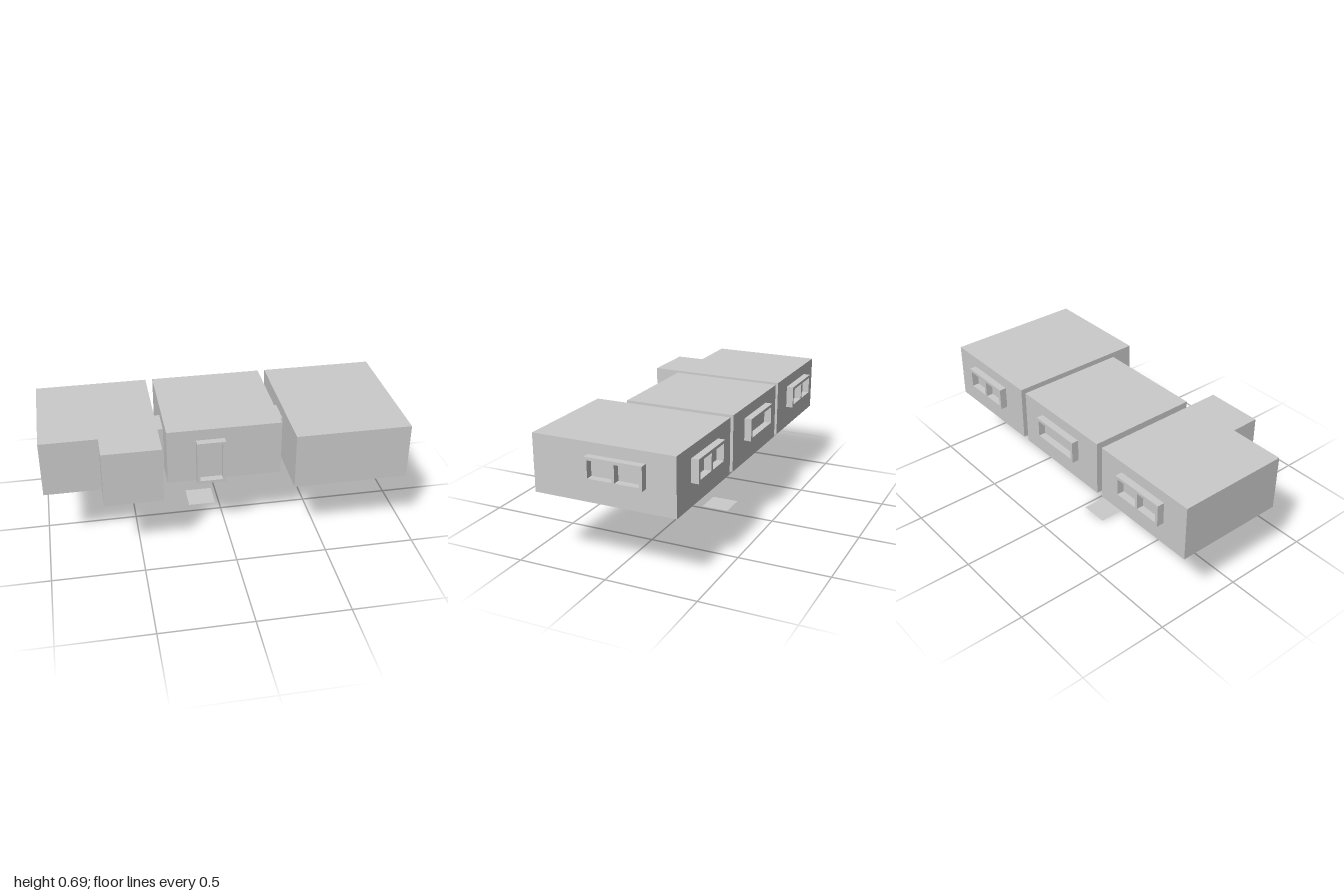
import * as THREE from 'three';

const FLOOR = 0.38, TOP = 0.6925, DEPTH = 0.04;
const material = new THREE.MeshStandardMaterial({ color: 0xcccccc, flatShading: true });

function add(parent, geometry, name, x = 0, y = 0, z = 0) {
  const mesh = new THREE.Mesh(geometry, material);
  mesh.name = name;
  mesh.position.set(x, y, z);
  parent.add(mesh);
  return mesh;
}

// Room block from a floor outline given as [x, z] corners
function addRoom(parent, name, outline) {
  const shape = new THREE.Shape(outline.map(([x, z]) => new THREE.Vector2(x, -z)));
  const geometry = new THREE.ExtrudeGeometry(shape, { depth: TOP - FLOOR, bevelEnabled: false });
  geometry.rotateX(-Math.PI / 2);
  add(parent, geometry, name, 0, FLOOR, 0);
}

// Raised rim around an opening, optionally split by a mullion; faces +z before turning
function addFrame(parent, name, width, y0, y1, panes, x, z, turn) {
  const rim = 0.016, h = y1 - y0;
  const rect = (target, a, b, c, d) =>
    target.moveTo(a, b).lineTo(c, b).lineTo(c, d).lineTo(a, d).lineTo(a, b);
  const shape = new THREE.Shape();
  rect(shape, -width / 2, 0, width / 2, h);
  const inner = width - 2 * rim;
  const pane = (inner - (panes - 1) * rim) / panes;
  for (let i = 0; i < panes; i++) {
    const a = -inner / 2 + i * (pane + rim);
    const hole = new THREE.Path();
    rect(hole, a, rim, a + pane, h - rim);
    shape.holes.push(hole);
  }
  const geometry = new THREE.ExtrudeGeometry(shape, { depth: DEPTH, bevelEnabled: false });
  add(parent, geometry, name, x, y0, z).rotation.y = turn;
}

export function createModel() {
  const group = new THREE.Group();
  group.name = 'house';

  // Three rooms in a row, the first with a stepped front
  addRoom(group, 'steppedRoom', [
    [-1, 0.25], [-0.69, 0.25], [-0.69, 0.41], [-0.375, 0.41], [-0.375, -0.375], [-1, -0.375],
  ]);
  addRoom(group, 'middleRoom', [[-0.335, 0.25], [0.29, 0.25], [0.29, -0.375], [-0.335, -0.375]]);
  addRoom(group, 'longRoom', [[0.33, 0.41], [0.957, 0.41], [0.957, -0.375], [0.33, -0.375]]);

  // Doorways joining neighbouring rooms
  for (const x of [-0.355, 0.31]) {
    add(group, new THREE.BoxGeometry(DEPTH, 0.25, 0.156), 'connectingDoorway', x, FLOOR + 0.125, 0.02);
  }

  // Back windows, side window and front door
  for (const [x, panes] of [[-0.688, 2], [-0.022, 1], [0.645, 2]]) {
    addFrame(group, 'backWindow', 0.3125, 0.505, 0.63, panes, x, -0.375, Math.PI);
  }
  addFrame(group, 'sideWindow', 0.3125, 0.505, 0.63, 2, 0.957, -0.06, Math.PI / 2);
  addFrame(group, 'frontDoor', 0.156, FLOOR, 0.63, 1, -0.1, 0.25, 0);

  // Flat ground tile below the middle room
  const tile = add(group, new THREE.PlaneGeometry(0.156, 0.156), 'groundTile', -0.1, 0, -0.138);
  tile.rotation.x = -Math.PI / 2;
  tile.material = new THREE.MeshStandardMaterial({ color: 0xcccccc, side: THREE.DoubleSide });

  return group;
}
